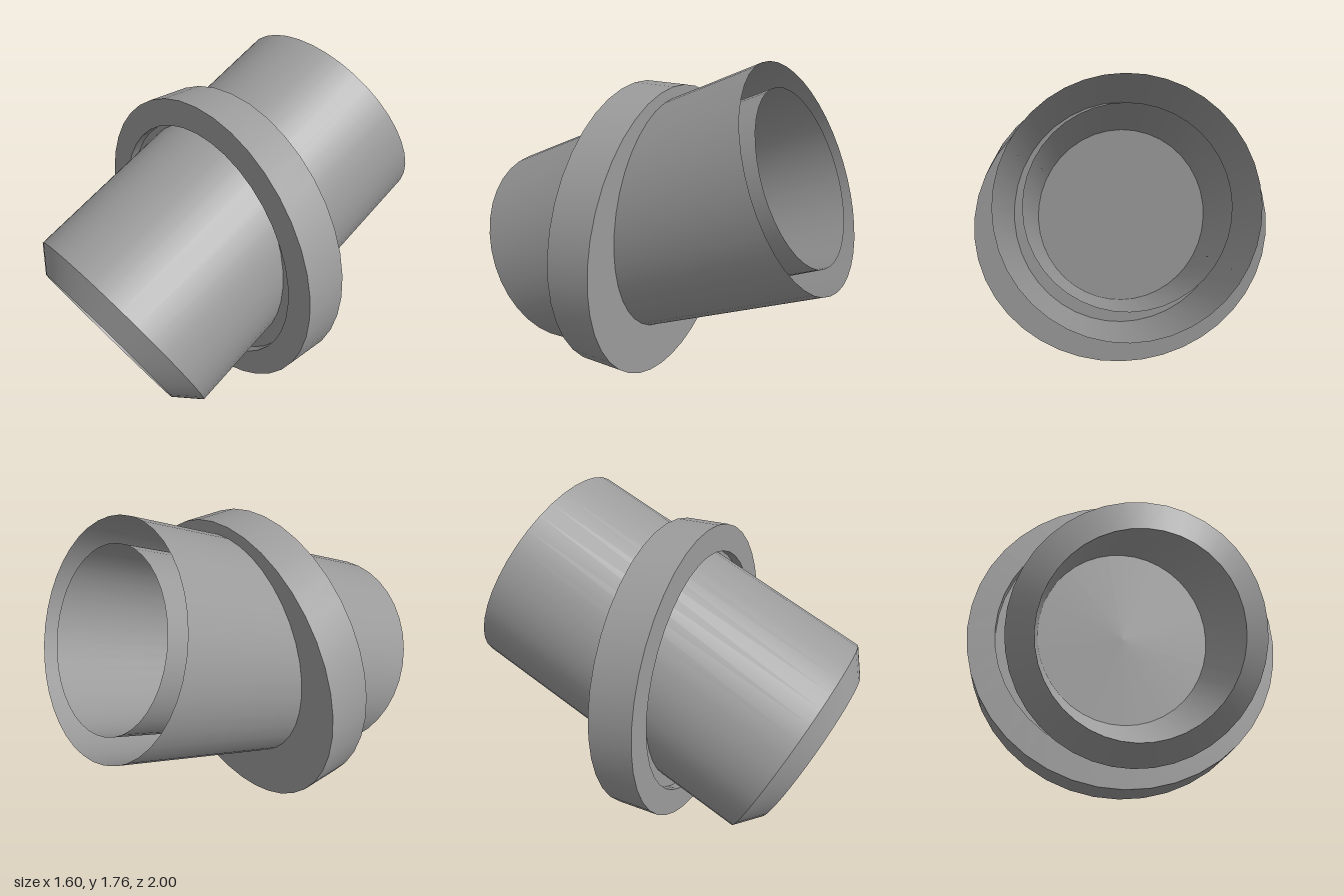
import * as THREE from 'three';
import { toCreasedNormals } from 'three/addons/utils/BufferGeometryUtils.js';

const SIDES = 40;
const GREY = 0x9c9c9c;

export function createModel() {
  const model = new THREE.Group();
  model.name = 'flangedPipe';
  const solid = new THREE.MeshStandardMaterial({ color: GREY });
  const thin = new THREE.MeshStandardMaterial({ color: GREY, side: THREE.DoubleSide });

  // Solid upright flange with a shallow recess in its front face
  const profile = [[0, -0.04], [0.8, -0.04], [0.8, 0.19], [0.66, 0.19], [0.66, 0.14], [0, 0.14]]
    .map(([r, z]) => new THREE.Vector2(r, z));
  const flange = new THREE.Mesh(
    toCreasedNormals(new THREE.LatheGeometry(profile, SIDES), 0.6), solid);
  flange.name = 'flange';
  flange.rotation.x = Math.PI / 2;
  flange.position.y = 0.8;
  model.add(flange);

  // Pipe tilted down towards the front; local +y runs along its axis to the front
  const pipe = new THREE.Group();
  pipe.name = 'pipe';
  pipe.rotation.x = THREE.MathUtils.degToRad(115);
  pipe.position.y = 0.887;
  model.add(pipe);

  // Open sleeve from a back position and radius to a front position and radius
  function addSleeve(name, back, backRadius, front, frontRadius) {
    const geometry = new THREE.CylinderGeometry(
      frontRadius, backRadius, front - back, SIDES, 1, true);
    const mesh = new THREE.Mesh(geometry, thin);
    mesh.name = name;
    mesh.position.y = (front + back) / 2;
    pipe.add(mesh);
  }

  // Outer and inner walls join at the front bevel; the gap between them is open at the back
  addSleeve('outerWall', -0.833, 0.577, 0.792, 0.577);
  addSleeve('frontBevel', 0.792, 0.577, 0.894, 0.448);
  addSleeve('innerWall', -0.833, 0.448, 0.894, 0.448);

  return model;
}
